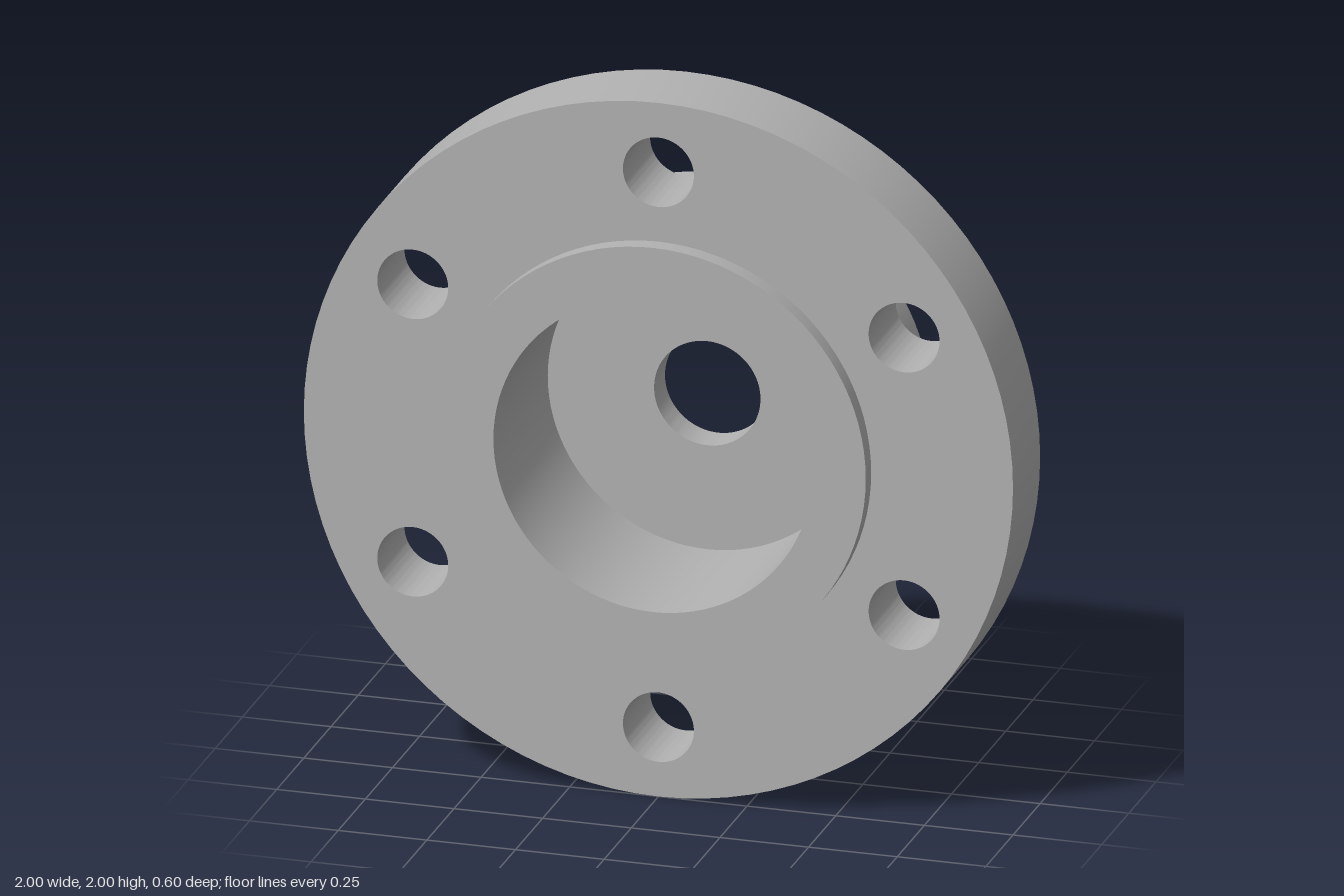
import * as THREE from 'three';
import { toCreasedNormals } from 'three/addons/utils/BufferGeometryUtils.js';

const SEGMENTS = 96;
const FRONT = 0.25, BACK = 0; // flange faces along z
const RIM = 1, HUB = 0.6, BOLT_CIRCLE = 0.8, BOLT_HOLE = 0.1;

// Revolve [radius, z] points around the z axis, keeping sharp edges
function turned(points) {
  const profile = points.map(([r, z]) => new THREE.Vector2(r, z));
  const geometry = new THREE.LatheGeometry(profile, SEGMENTS).rotateX(Math.PI / 2);
  return toCreasedNormals(geometry, 0.6);
}

export function createModel() {
  const steel = new THREE.MeshStandardMaterial({ color: 0xb2b2b2 });
  steel.name = 'grey steel';

  const model = new THREE.Group();
  model.name = 'pipeFlange';
  const add = (name, geometry, x = 0, y = 0, z = 0) => {
    const mesh = new THREE.Mesh(geometry, steel);
    mesh.name = name;
    mesh.position.set(x, y + 1, z);
    model.add(mesh);
  };

  // Hub: raised front lip, deep socket, thin back wall with a shaft hole
  add('hub', turned([
    [HUB, FRONT], [HUB, 0.3], [0.45, 0.3], [0.45, -0.2],
    [0.15, -0.2], [0.15, -0.3], [HUB, -0.3], [HUB, BACK],
  ]));

  // Outer edge of the flange
  add('flangeRim', turned([[RIM, BACK], [RIM, FRONT]]));

  // Flange faces, pierced by the hub and six bolt holes
  const face = new THREE.Shape().absarc(0, 0, RIM, 0, Math.PI * 2);
  face.holes.push(new THREE.Path().absarc(0, 0, HUB, 0, Math.PI * 2));
  const bore = turned([[BOLT_HOLE, FRONT], [BOLT_HOLE, BACK]]);
  for (let i = 0; i < 6; i++) {
    const angle = Math.PI / 2 + (i * Math.PI) / 3;
    const x = Math.cos(angle) * BOLT_CIRCLE;
    const y = Math.sin(angle) * BOLT_CIRCLE;
    face.holes.push(new THREE.Path().absarc(x, y, BOLT_HOLE, 0, Math.PI * 2));
    add(`boltHole${i + 1}`, bore, x, y);
  }
  const plate = new THREE.ShapeGeometry(face, SEGMENTS / 2);
  add('flangeFront', plate, 0, 0, FRONT);
  add('flangeBack', plate.clone().rotateY(Math.PI), 0, 0, BACK);

  return model;
}
